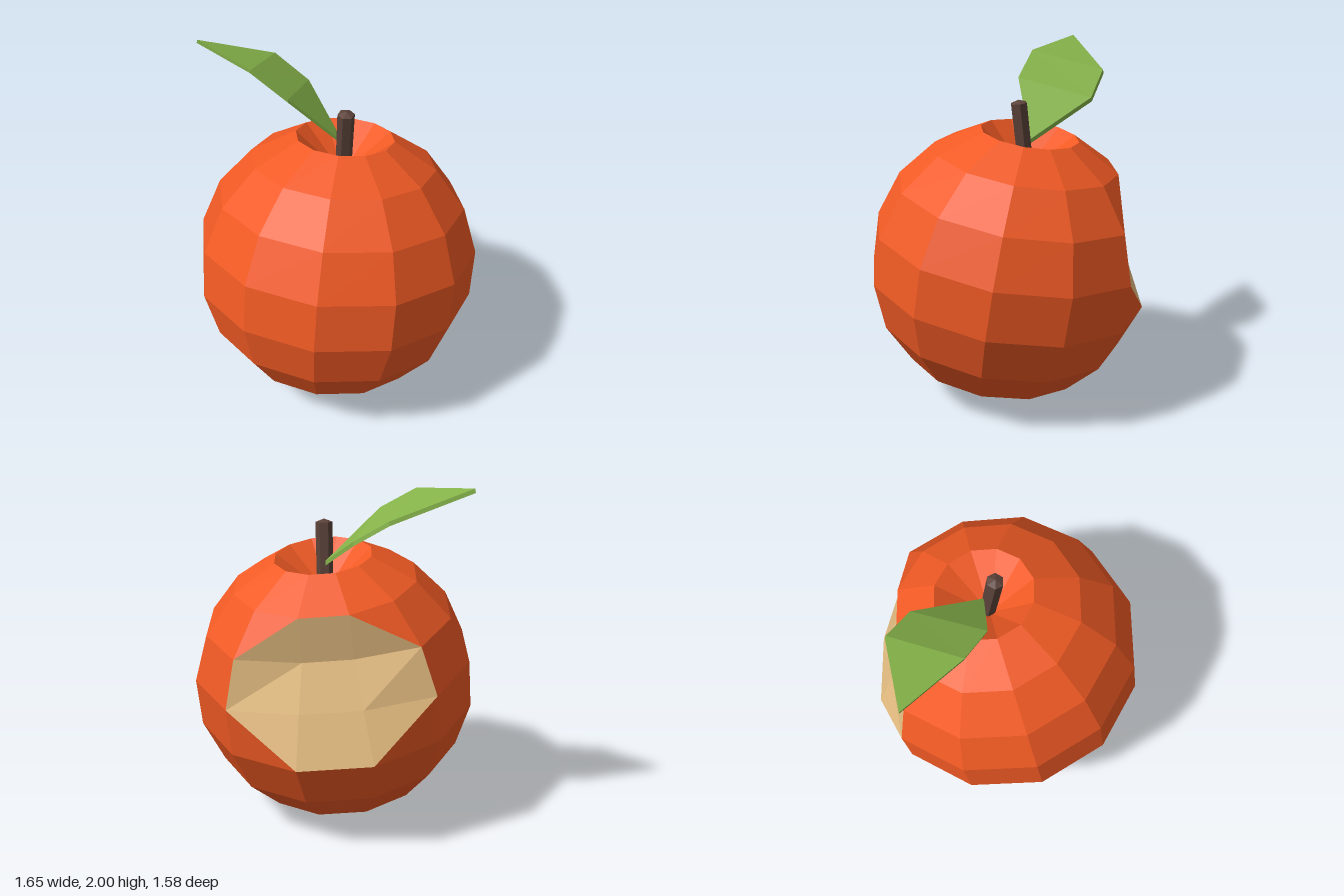
import * as THREE from 'three';

const mat = (color, side = THREE.FrontSide) =>
  new THREE.MeshStandardMaterial({ color, flatShading: true, side });

const part = (name, geometry, material) => {
  const mesh = new THREE.Mesh(geometry, material);
  mesh.name = name;
  return mesh;
};

const fromTriangles = (points) => {
  const g = new THREE.BufferGeometry().setFromPoints(points);
  g.computeVertexNormals();
  return g;
};

// Faceted ball with sunken poles; four vertices are pushed in to form the bite
const SIDES = 12, ROWS = 9, RADIUS = 0.815;
const isBitten = (i, j) => (i === 3 || i === 4) && (j === 7 || j === 8);

function fruitVertex(i, j) {
  if (i === 0) return new THREE.Vector3(0, 0.54, 0);
  if (i === ROWS) return new THREE.Vector3(0, -0.61, 0);
  const theta = (i * Math.PI) / ROWS;
  const phi = ((j + 0.5) * 2 * Math.PI) / SIDES;
  let r = RADIUS * Math.sin(theta), y = RADIUS * Math.cos(theta);
  if (isBitten(i, j)) {
    r *= i === 3 ? 0.75 : 0.83;
    y *= 0.9;
  }
  return new THREE.Vector3(r * Math.cos(phi), y, r * Math.sin(phi));
}

function createFruit() {
  const skin = [], flesh = [];
  const addTriangle = (...corners) => {
    const target = corners.some(([i, j]) => isBitten(i, j)) ? flesh : skin;
    corners.forEach(([i, j]) => target.push(fruitVertex(i, j)));
  };
  for (let i = 0; i < ROWS; i++) {
    for (let j = 0; j < SIDES; j++) {
      const k = (j + 1) % SIDES;
      const a = [i, j], b = [i, k], c = [i + 1, k], d = [i + 1, j];
      if (i === 0) addTriangle(a, c, d);
      else if (i === ROWS - 1) addTriangle(a, b, c);
      else {
        // Corner quads of the bite are split so the rim runs diagonally
        const bitten = [a, b, c, d].map(([m, n]) => isBitten(m, n));
        const single = bitten.filter(Boolean).length === 1;
        if (single && (bitten[0] || bitten[2])) {
          addTriangle(a, b, d);
          addTriangle(b, c, d);
        } else {
          addTriangle(a, b, c);
          addTriangle(a, c, d);
        }
      }
    }
  }
  const fruit = new THREE.Group();
  fruit.name = 'fruit';
  fruit.add(part('skin', fromTriangles(skin), mat(0xf15a24)));
  fruit.add(part('biteFlesh', fromTriangles(flesh), mat(0xe8c083)));

  // Small dried blossom end in the lower hollow
  const calyx = part('calyx', new THREE.SphereGeometry(0.065, 6, 4), mat(0x4a3a36));
  calyx.position.y = -0.64;
  fruit.add(calyx);

  fruit.position.set(0.05, 0.8, 0.004);
  fruit.rotation.x = THREE.MathUtils.degToRad(-9);
  return fruit;
}

// Six-sided stalk with a slightly raised end, leaning between two points
function createStem() {
  const base = new THREE.Vector3(0.045, 1.28, -0.1);
  const top = new THREE.Vector3(0.077, 1.73, -0.06);
  const axis = top.clone().sub(base);
  const length = axis.length();
  const profile = [[0, 0], [0.045, 0], [0.048, length], [0, length + 0.018]]
    .map(([r, y]) => new THREE.Vector2(r, y));
  const stem = part('stem', new THREE.LatheGeometry(profile, 6), mat(0x5c433a));
  stem.position.copy(base);
  stem.quaternion.setFromUnitVectors(new THREE.Vector3(0, 1, 0), axis.normalize());
  return stem;
}

// Thin bent leaf: outline runs from the base along the back edge to the tip, then back
function createLeaf() {
  const upper = [
    [0.04, 1.52, -0.11], [-0.28, 1.72, -0.36], [-0.49, 1.85, -0.36],
    [-0.82, 2.0, -0.06], [-0.43, 1.95, 0.06], [-0.21, 1.82, 0.06],
  ].map((p) => new THREE.Vector3(...p));
  const lower = upper.map((p) => p.clone().add(new THREE.Vector3(-0.006, -0.022, -0.004)));
  const faces = [[0, 5, 1], [1, 5, 4], [1, 4, 2], [2, 4, 3]];
  const points = [];
  for (const [a, b, c] of faces) {
    points.push(upper[a], upper[b], upper[c], lower[a], lower[c], lower[b]);
  }
  for (let i = 0; i < 6; i++) {
    const j = (i + 1) % 6;
    points.push(upper[i], upper[j], lower[j], upper[i], lower[j], lower[i]);
  }
  return part('leaf', fromTriangles(points), mat(0x86b34a, THREE.DoubleSide));
}

export function createModel() {
  const model = new THREE.Group();
  model.name = 'bittenApple';
  model.add(createFruit(), createStem(), createLeaf());
  return model;
}
